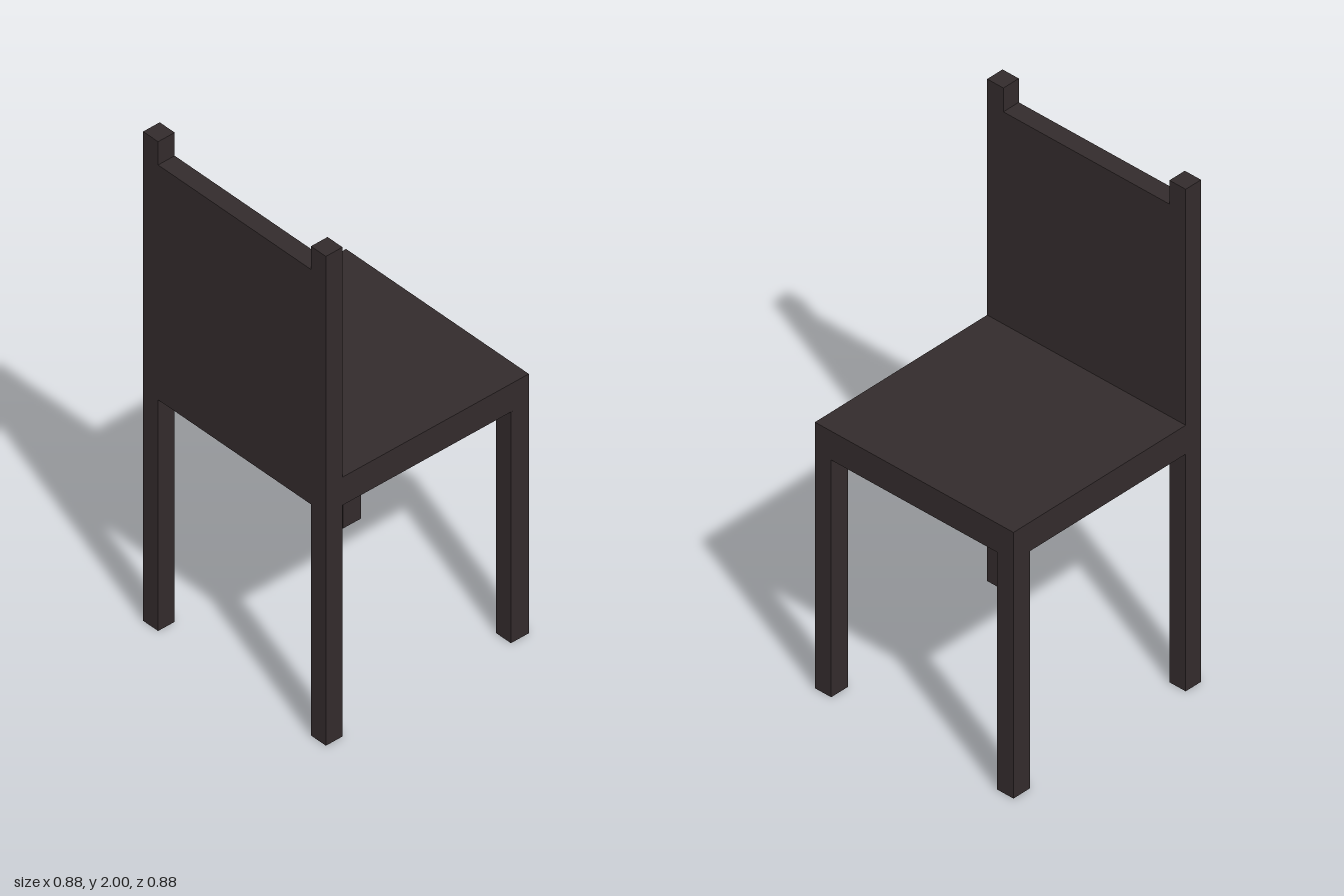
import * as THREE from 'three';

export function createModel() {
  const chair = new THREE.Group();
  chair.name = 'chair';
  const wood = new THREE.MeshStandardMaterial({ color: 0x332b2c });

  // Box given by its lower and upper corners
  const block = (name, [x0, y0, z0], [x1, y1, z1]) => {
    const mesh = new THREE.Mesh(new THREE.BoxGeometry(x1 - x0, y1 - y0, z1 - z0), wood);
    mesh.position.set((x0 + x1) / 2, (y0 + y1) / 2, (z0 + z1) / 2);
    mesh.name = name;
    chair.add(mesh);
  };

  const half = 0.44; // half of the square footprint
  const inner = 0.368; // inner face of the posts and legs
  const seatBottom = 0.945;
  const seatTop = 1.06;

  // Seat slab, running up to the back frame
  block('seat', [-inner, seatBottom, -half], [half, seatTop, half]);

  // Back panel between the posts, flush with them
  block('backPanel', [-half, seatBottom, -inner], [-inner, 1.905, inner]);

  // Tall rear posts and short front legs, one of each per side
  for (const [side, z0, z1] of [['left', -half, -inner], ['right', inner, half]]) {
    block(side + 'BackPost', [-half, 0, z0], [-inner, 2, z1]);
    block(side + 'FrontLeg', [0.362, 0, z0], [half, seatBottom, z1]);
  }

  return chair;
}
